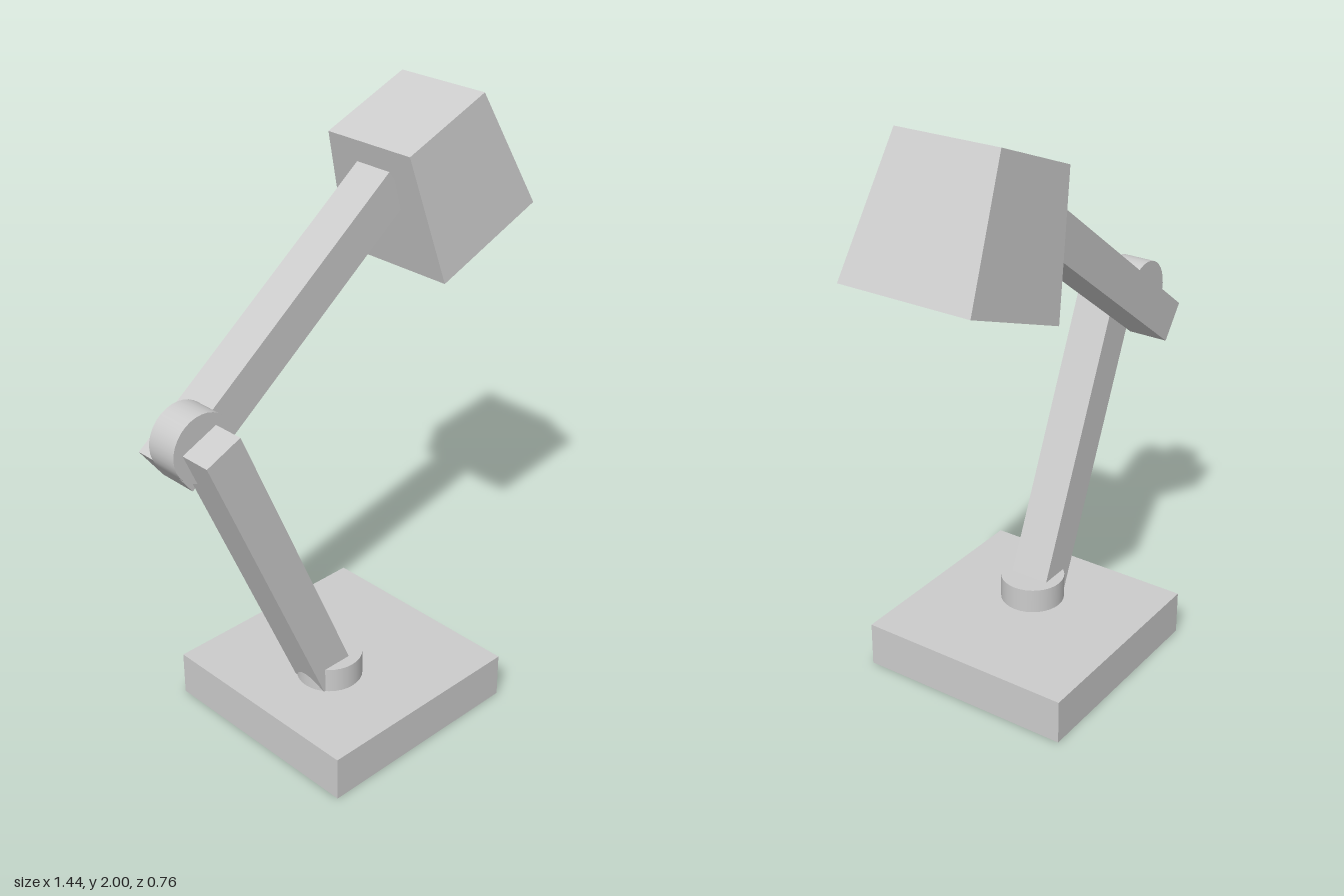
import * as THREE from 'three';

const material = new THREE.MeshStandardMaterial({ color: 0xcccccc });
const flatMaterial = new THREE.MeshStandardMaterial({ color: 0xcccccc, flatShading: true });

function part(group, name, geometry, x, y, z, mat = material) {
  const mesh = new THREE.Mesh(geometry, mat);
  mesh.name = name;
  mesh.position.set(x, y, z);
  group.add(mesh);
  return mesh;
}

// Square bar running between two points of the xy plane
function bar(group, name, [x1, y1], [x2, y2], z) {
  const length = Math.hypot(x2 - x1, y2 - y1);
  const mesh = part(group, name, new THREE.BoxGeometry(length, 0.138, 0.14),
    (x1 + x2) / 2, (y1 + y2) / 2, z);
  mesh.rotation.z = Math.atan2(y2 - y1, x2 - x1);
}

// Hollow four-sided shade: [half width, height] from the cavity's ceiling to the roof
function shadeGeometry() {
  const profile = [[0, 0.27], [0.1, 0.27], [0.167, 0], [0.223, 0], [0.176, 0.443], [0, 0.443]]
    .map(([half, y]) => new THREE.Vector2(half * Math.SQRT2, y));
  const geometry = new THREE.LatheGeometry(profile, 4, Math.PI / 4).toNonIndexed();
  geometry.computeVertexNormals();
  return geometry;
}

export function createModel() {
  const lamp = new THREE.Group();
  lamp.name = 'deskLamp';

  // Base plate and its round socket
  part(lamp, 'base', new THREE.BoxGeometry(0.76, 0.155, 0.76), -0.075, 0.0775, 0);
  part(lamp, 'baseSocket', new THREE.CylinderGeometry(0.11, 0.11, 0.1, 32), -0.16, 0.192, 0.035);

  // Two arms side by side, joined by the elbow disc
  bar(lamp, 'lowerArm', [-0.173, 0.15], [-0.627, 1.207], 0.034);
  bar(lamp, 'upperArm', [-0.666, 1.07], [0.232, 1.745], -0.122);
  const elbow = part(lamp, 'elbowJoint', new THREE.CylinderGeometry(0.111, 0.111, 0.112, 32),
    -0.613, 1.176, -0.06);
  elbow.rotation.x = Math.PI / 2;

  // Tilted lamp shade
  const shade = part(lamp, 'lampShade', shadeGeometry(), 0.513, 1.521, -0.14, flatMaterial);
  shade.rotation.z = THREE.MathUtils.degToRad(21.5);

  return lamp;
}
